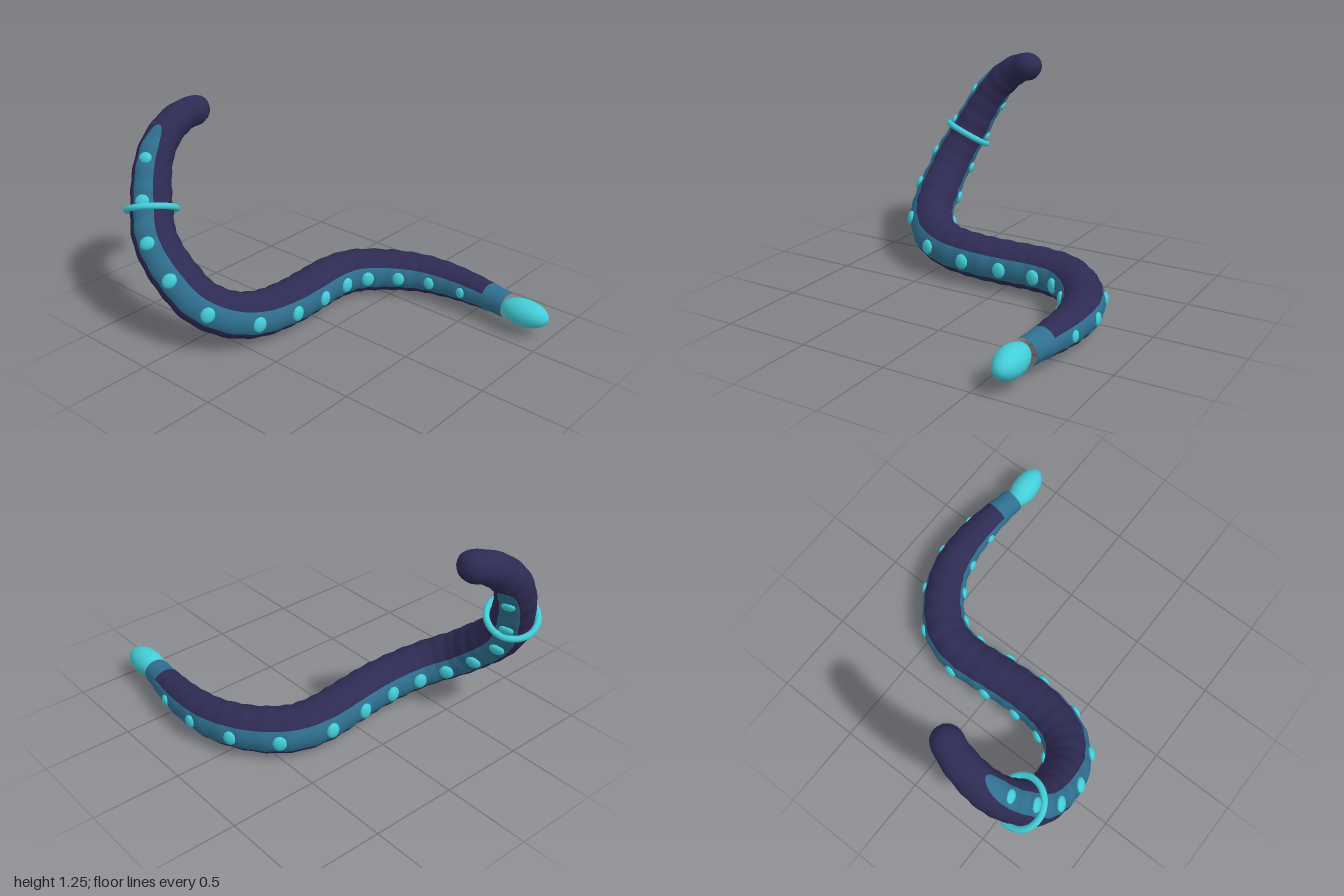
import * as THREE from 'three';

const material = (name, color) => {
  const m = new THREE.MeshStandardMaterial({ color });
  m.name = name;
  return m;
};

export function createModel() {
  const group = new THREE.Group();
  const navy = material('darkSkin', 0x2e2b54);
  const teal = material('bandTeal', 0x2f7090);
  const cyan = material('glowCyan', 0x43cdd8);

  // Centre line from tail to head
  const path = new THREE.CatmullRomCurve3([
    [0.645, 0.14, 0.74], [0.67, 0.14, 0.55], [0.68, 0.138, 0.35], [0.655, 0.136, 0.15],
    [0.59, 0.135, 0], [0.5, 0.136, -0.12], [0.38, 0.14, -0.21], [0.22, 0.144, -0.24],
    [0, 0.15, -0.225], [-0.2, 0.158, -0.215], [-0.4, 0.175, -0.235], [-0.55, 0.215, -0.3],
    [-0.65, 0.29, -0.42], [-0.68, 0.39, -0.54], [-0.685, 0.5, -0.66], [-0.67, 0.6, -0.74],
    [-0.625, 0.715, -0.8], [-0.545, 0.9, -0.87], [-0.47, 1.02, -0.895], [-0.36, 1.12, -0.895],
    [-0.27, 1.165, -0.875], [-0.2, 1.178, -0.845], [-0.145, 1.175, -0.82],
  ].map(p => new THREE.Vector3(...p)));
  path.arcLengthDivisions = 1000;
  const ROWS = 400;
  const length = path.getLength();
  const frames = path.computeFrenetFrames(ROWS);
  const points = path.getSpacedPoints(ROWS);
  const row = s => Math.round(THREE.MathUtils.clamp(s / length, 0, 1) * ROWS);

  // Body thickness along the length: slim tail, full middle, rounded head
  const thickness = s => {
    const base = 0.072 + 0.058 * Math.sin(Math.PI / 2 * Math.min(s / 1.2, 1))
      - 0.05 * Math.pow(Math.max(0, (s - 2.3) / 1.2), 1.5);
    const cap = Math.max(0, (s - (length - 0.07)) / 0.07);
    return base * Math.sqrt(Math.max(0, 1 - cap * cap));
  };
  const radius = s => thickness(s) * (1 + 0.018 * Math.sin(2 * Math.PI * s / 0.11));

  // Skin patch between two rows, spanning angles from(s) to to(s)
  function addSkin(name, mat, r0, r1, from, to, sides) {
    const pos = [], nor = [], index = [];
    for (let i = r0; i <= r1; i++) {
      const s = i / ROWS * length, r = radius(s);
      const slope = THREE.MathUtils.clamp((radius(s + 0.004) - radius(s - 0.004)) / 0.008, -4, 4);
      for (let j = 0; j <= sides; j++) {
        const a = THREE.MathUtils.lerp(from(s), to(s), j / sides);
        const out = frames.binormals[i].clone().multiplyScalar(Math.cos(a))
          .addScaledVector(frames.normals[i], Math.sin(a));
        pos.push(...points[i].clone().addScaledVector(out, r).toArray());
        nor.push(...out.addScaledVector(frames.tangents[i], -slope).normalize().toArray());
        if (i < r1 && j < sides) {
          const k = (i - r0) * (sides + 1) + j, n = k + sides + 1;
          index.push(k, n, k + 1, n, n + 1, k + 1);
        }
      }
    }
    const geo = new THREE.BufferGeometry();
    geo.setAttribute('position', new THREE.Float32BufferAttribute(pos, 3));
    geo.setAttribute('normal', new THREE.Float32BufferAttribute(nor, 3));
    geo.setIndex(index);
    const mesh = new THREE.Mesh(geo, mat);
    mesh.name = name;
    group.add(mesh);
  }

  // Side bands run between the tail sheath and the head, closing to a round end
  const bandStart = 0.14, bandEnd = 3.23;
  const halfBand = s => {
    const k = THREE.MathUtils.clamp((s - (bandEnd - 0.16)) / 0.16, 0, 1);
    return 0.54 * Math.sqrt(1 - k * k);
  };
  const b0 = row(bandStart), b1 = row(bandEnd);
  addSkin('tailSheath', teal, 0, b0, () => 0, () => 2 * Math.PI, 20);
  addSkin('head', navy, b1, ROWS, () => 0, () => 2 * Math.PI, 20);
  for (const [side, turn] of [['right', 0], ['left', Math.PI]]) {
    addSkin(side + 'Band', teal, b0, b1, s => turn - halfBand(s), s => turn + halfBand(s), 4);
  }
  for (const [side, turn] of [['belly', 0], ['back', Math.PI]]) {
    addSkin(side, navy, b0, b1, s => turn + halfBand(s), s => turn + Math.PI - halfBand(s), 8);
  }

  // Place a mesh in the body's frame: x along the body, z out to the side
  function addOnBody(name, geo, s, side, scale) {
    const i = row(s), mesh = new THREE.Mesh(geo, cyan);
    mesh.name = name;
    const out = frames.binormals[i].clone().multiplyScalar(side || 1);
    const up = out.clone().cross(frames.tangents[i]);
    mesh.quaternion.setFromRotationMatrix(
      new THREE.Matrix4().makeBasis(frames.tangents[i], up, out));
    mesh.position.copy(points[i]).addScaledVector(out, side ? radius(s) : 0);
    mesh.scale.set(...scale);
    group.add(mesh);
  }

  // Paired glowing spots along both bands
  const spot = new THREE.SphereGeometry(1, 16, 12);
  for (let k = 0; k < 13; k++) {
    const s = 0.29 + 0.23 * k, r = thickness(s);
    for (const side of [-1, 1]) {
      addOnBody('glowSpot', spot, s, side, [0.3 * r, 0.35 * r, 0.16 * r]);
    }
  }

  // Collar ring near the head
  const ring = new THREE.TorusGeometry(0.137, 0.018, 12, 40).rotateY(Math.PI / 2);
  addOnBody('collarRing', ring, 2.79, 0, [1, 1, 1]);

  // Glowing tail bulb
  const bulb = new THREE.Mesh(new THREE.SphereGeometry(1, 24, 18), cyan);
  bulb.name = 'tailBulb';
  bulb.scale.set(0.079, 0.079, 0.145);
  bulb.position.set(0.635, 0.14, 0.853);
  bulb.rotation.y = 0.06;
  group.add(bulb);

  return group;
}
